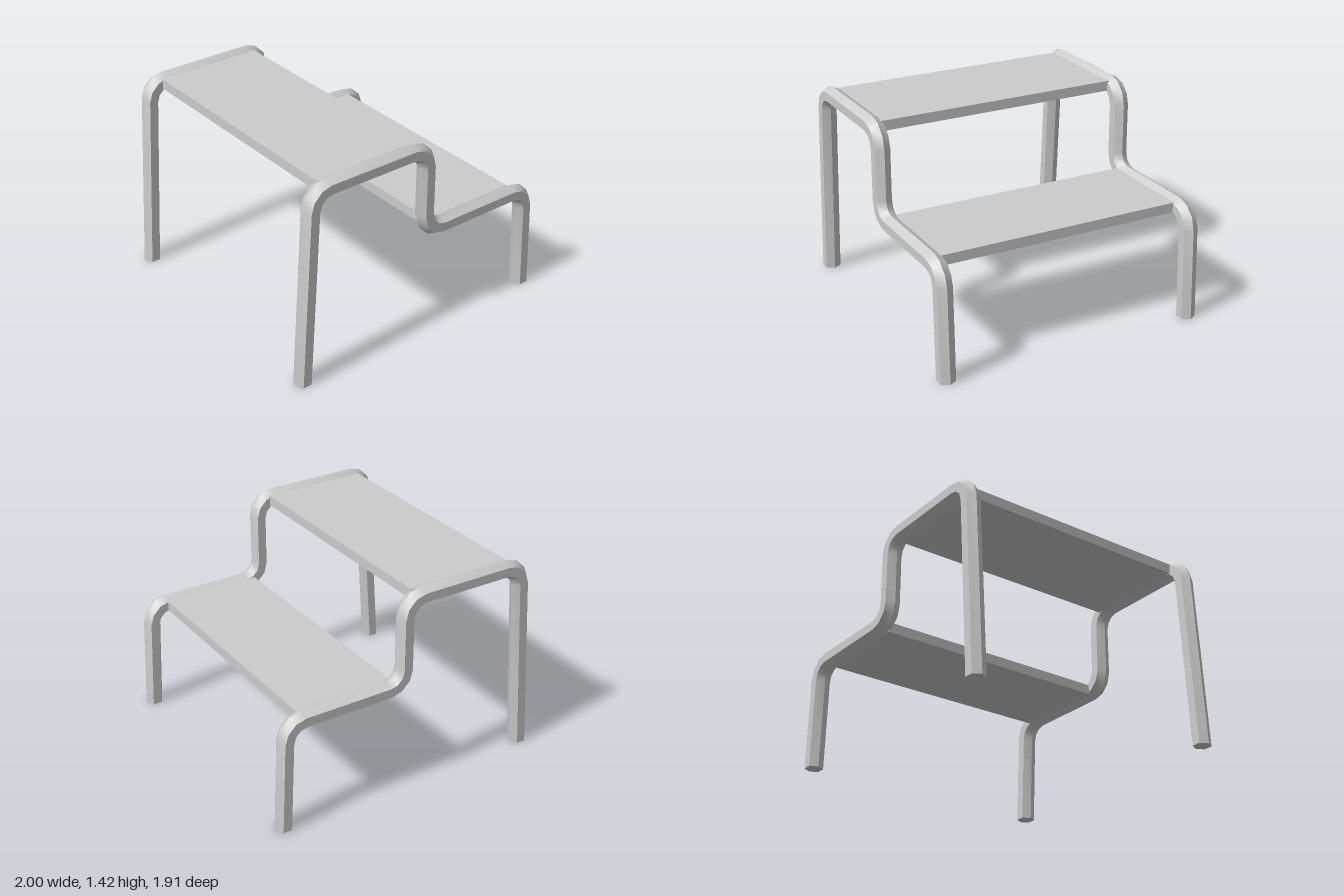
import * as THREE from 'three';
import { toCreasedNormals } from 'three/addons/utils/BufferGeometryUtils.js';

const SIDES = 6, TUBE_R = 0.0625, BEND_R = 0.1275, BEND_STEPS = 3;

// Centre line of a side frame in the xy plane: leg, upper step, riser, lower step, leg
function framePath() {
  const bends = [ // centre x, centre y, start and end angle in degrees
    [-0.735, 1.23, 176.6, 90],
    [-0.09, 1.23, 90, 0],
    [0.165, 0.8825, 180, 270],
    [0.785, 0.6275, 90, 2.5],
  ];
  const points = [new THREE.Vector2(-0.9375, 0)];
  for (const [cx, cy, from, to] of bends) {
    for (let i = 0; i <= BEND_STEPS; i++) {
      const a = THREE.MathUtils.degToRad(from + (to - from) * i / BEND_STEPS);
      points.push(new THREE.Vector2(cx + BEND_R * Math.cos(a), cy + BEND_R * Math.sin(a)));
    }
  }
  points.push(new THREE.Vector2(0.9375, 0));
  return points;
}

// Hexagonal tube with mitred joints, feet cut level with the floor
function frameGeometry() {
  const path = framePath(), last = path.length - 1;
  const positions = [], index = [];
  path.forEach((p, i) => {
    let t, miter = 1;
    if (i === 0) t = new THREE.Vector2(0, 1);
    else if (i === last) t = new THREE.Vector2(0, -1);
    else {
      const before = p.clone().sub(path[i - 1]).normalize();
      const after = path[i + 1].clone().sub(p).normalize();
      t = before.clone().add(after).normalize();
      miter = 1 / t.dot(before);
    }
    for (let k = 0; k < SIDES; k++) {
      const a = k / SIDES * Math.PI * 2, n = Math.cos(a) * TUBE_R * miter;
      positions.push(p.x - t.y * n, p.y + t.x * n, Math.sin(a) * TUBE_R);
    }
  });
  for (let i = 0; i < last; i++) {
    for (let k = 0; k < SIDES; k++) {
      const a = i * SIDES + k, b = i * SIDES + (k + 1) % SIDES;
      index.push(a, b, a + SIDES, b, b + SIDES, a + SIDES);
    }
  }
  // foot caps
  const end = last * SIDES;
  for (let k = 1; k < SIDES - 1; k++) index.push(0, k + 1, k, end, end + k, end + k + 1);

  const geometry = new THREE.BufferGeometry();
  geometry.setAttribute('position', new THREE.Float32BufferAttribute(positions, 3));
  geometry.setIndex(index);
  return toCreasedNormals(geometry, 0.6);
}

export function createModel() {
  const model = new THREE.Group();
  model.name = 'stepStool';
  const material = new THREE.MeshStandardMaterial({ color: 0xcccccc });

  const add = (name, geometry, x, y, z) => {
    const mesh = new THREE.Mesh(geometry, material);
    mesh.name = name;
    mesh.position.set(x, y, z);
    model.add(mesh);
  };

  // Bent tube frames at front and back
  const frame = frameGeometry();
  add('frontFrame', frame, 0, 0, 0.902);
  add('backFrame', frame, 0, 0, -0.902);

  // Step boards between the frames
  const board = (name, x0, x1, y) =>
    add(name, new THREE.BoxGeometry(x1 - x0, 0.07, 1.72), (x0 + x1) / 2, y, 0);
  board('upperStep', -0.785, -0.035, 1.355);
  board('lowerStep', 0.11, 0.805, 0.755);

  return model;
}
